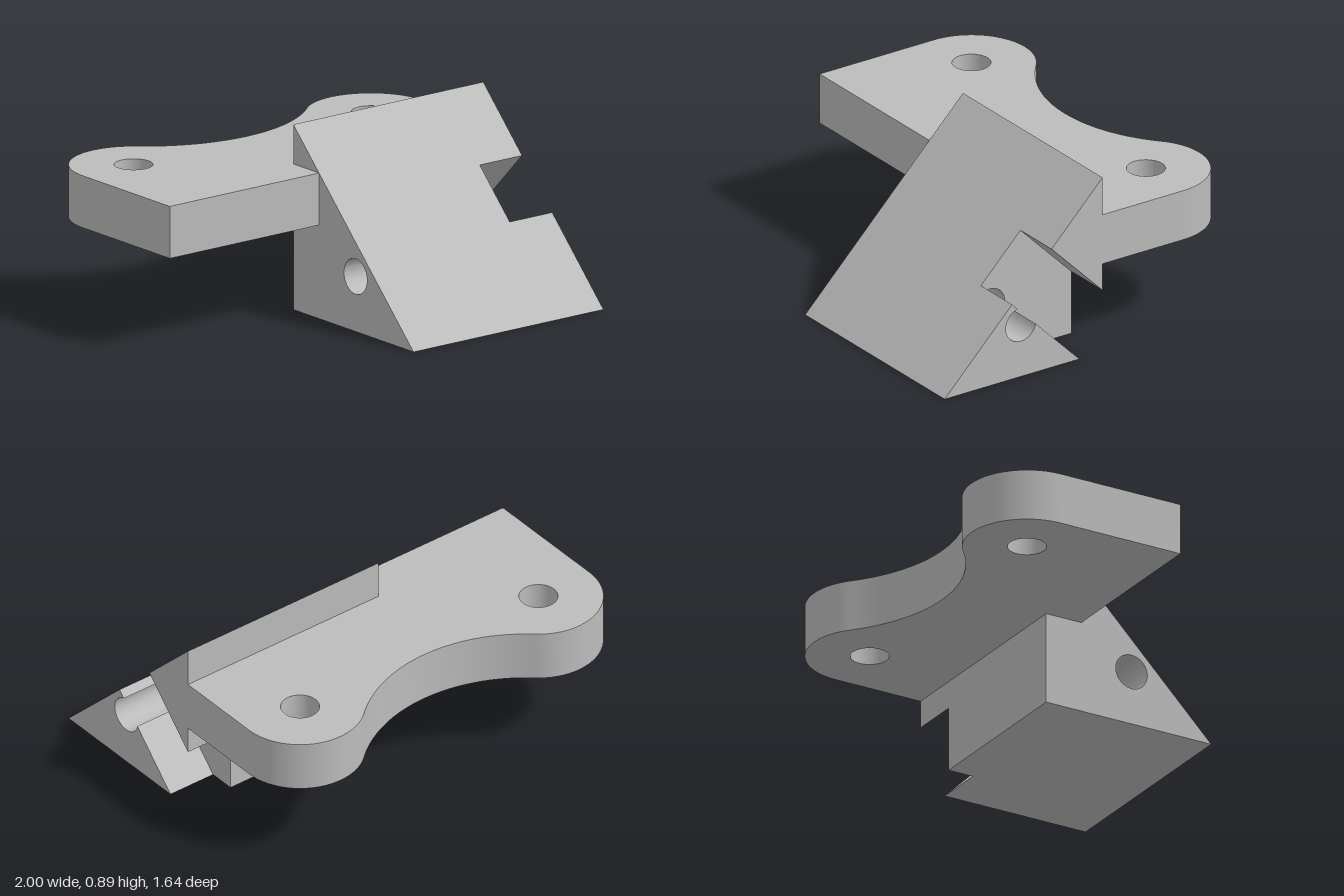
import * as THREE from 'three';
import { toCreasedNormals } from 'three/addons/utils/BufferGeometryUtils.js';

const metal = new THREE.MeshStandardMaterial({ color: 0xbcbcbc });
metal.name = 'plain grey';

const extrude = (shape, depth) =>
  new THREE.ExtrudeGeometry(shape, { depth, bevelEnabled: false, curveSegments: 40 });

function part(name, geometry) {
  const mesh = new THREE.Mesh(toCreasedNormals(geometry, 0.5), metal);
  mesh.name = name;
  return mesh;
}

// Side profile drawn as (z, y), extruded across x from x0 to x1
function sidePart(name, shape, x0, x1) {
  return part(name, extrude(shape, x1 - x0).rotateY(-Math.PI / 2).translate(x1, 0, 0));
}

const polygon = (points) => new THREE.Shape(points.map(([a, b]) => new THREE.Vector2(a, b)));

// Mounting plate: two round lobes joined by a tangent concave arc, drawn as (x, -z)
function mountingPlate() {
  const lobeX = 0.7, lobeY = 0.525, lobeR = 0.3, arcY = 1.317, arcR = 0.757;
  const tilt = Math.atan2(arcY - lobeY, lobeX);
  const s = new THREE.Shape();
  s.moveTo(-1, -0.12);
  s.lineTo(-0.12, -0.12);
  s.lineTo(-0.12, 0.07);
  s.lineTo(1, 0.07);
  s.lineTo(1, lobeY);
  s.absarc(lobeX, lobeY, lobeR, 0, Math.PI - tilt, false);
  s.absarc(0, arcY, arcR, -tilt, tilt - Math.PI, true);
  s.absarc(-lobeX, lobeY, lobeR, tilt, Math.PI, false);
  s.closePath();
  for (const side of [-1, 1]) {
    s.holes.push(new THREE.Path().absarc(side * lobeX, lobeY, 0.09, 0, Math.PI * 2, true));
  }
  return part('mountingPlate', extrude(s, 0.25).rotateX(-Math.PI / 2).translate(0, 0.45, 0));
}

export function createModel() {
  const group = new THREE.Group();
  group.name = 'wedgeBracket';
  const left = -0.12, slot = 0.75, right = 1;
  const hole = { z: 0.39, y: 0.265, r: 0.085 };

  // Wedge body with the cross hole running through it
  const body = polygon([[0.82, 0], [-0.07, 0.89], [-0.07, 0]]);
  body.holes.push(new THREE.Path().absarc(hole.z, hole.y, hole.r, 0, Math.PI * 2, true));

  // Wedge end above the slot
  const upper = polygon([[0.2175, 0.6025], [-0.07, 0.89], [-0.07, 0.315]]);

  // Wedge end below the slot, where the hole breaks out through the slot floor
  const half = Math.acos((hole.z - hole.y - 0.06) / Math.SQRT2 / hole.r);
  const facing = Math.PI * 0.75;
  const lower = polygon([[0.06, 0], [0.82, 0], [0.44, 0.38]]);
  lower.absarc(hole.z, hole.y, hole.r, facing - half, facing + half, true);
  lower.closePath();

  group.add(
    mountingPlate(),
    sidePart('wedgeBody', body, left, slot),
    sidePart('wedgeEndUpper', upper, slot, right),
    sidePart('wedgeEndLower', lower, slot, right),
  );
  return group;
}
